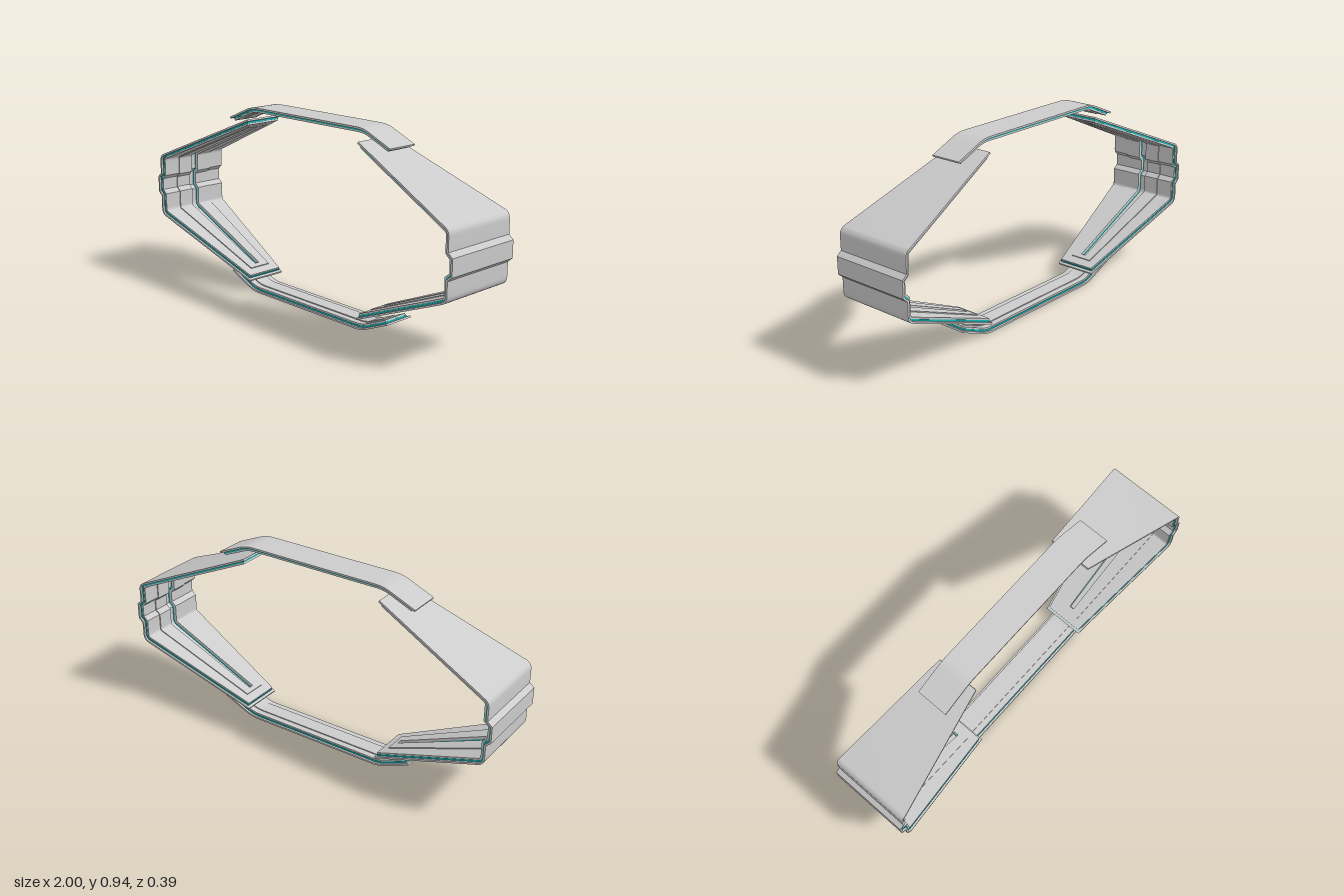
import * as THREE from 'three';
import { toCreasedNormals } from 'three/addons/utils/BufferGeometryUtils.js';

const MID = 0.4675; // height of the ring's centre
const grey = new THREE.MeshStandardMaterial({ color: 0xcccccc });
const teal = new THREE.MeshStandardMaterial({ color: 0x16b5b5 });

// Polyline whose corners with a radius value r are rounded over that length
function roundedPath(corners) {
  const pts = corners.map(([x, y]) => new THREE.Vector2(x, y - MID));
  const out = [];
  pts.forEach((p, i) => {
    const r = corners[i][2];
    if (!r) return out.push(p);
    const a = pts[i - 1].clone().sub(p).setLength(r).add(p);
    const b = pts[i + 1].clone().sub(p).setLength(r).add(p);
    out.push(...new THREE.QuadraticBezierCurve(a, p, b).getPoints(6));
  });
  return out;
}

// Points with mitred inward normals and distance along the path
function frames(path) {
  let s = 0;
  return path.map((p, i) => {
    const prev = path[Math.max(i - 1, 0)], next = path[Math.min(i + 1, path.length - 1)];
    if (i) s += p.distanceTo(prev);
    const a = (i ? p.clone().sub(prev) : next.clone().sub(p)).normalize();
    const b = (next !== p ? next.clone().sub(p) : a.clone()).normalize();
    const t = a.clone().add(b).normalize();
    const n = new THREE.Vector2(t.y, -t.x).divideScalar(t.dot(b));
    return { p, n, s };
  });
}

// Keep the stretch of the path between distances from and to
function trim(fr, from, to) {
  const at = (s) => {
    const i = Math.max(1, fr.findIndex((f) => f.s >= s));
    const A = fr[i - 1], B = fr[i], k = (s - A.s) / (B.s - A.s);
    const d = B.p.clone().sub(A.p).normalize();
    return { p: A.p.clone().lerp(B.p, k), n: new THREE.Vector2(d.y, -d.x), s };
  };
  return [at(from), ...fr.filter((f) => f.s > from + 1e-4 && f.s < to - 1e-4), at(to)];
}

// Solid strip between depths d0 and d1, and between the widths za and zb
function ribbon(fr, d0, d1, za, zb) {
  const pos = [];
  const rings = fr.map(({ p, n }) => {
    const x = Math.abs(p.x);
    return [[d0, za(x)], [d1, za(x)], [d1, zb(x)], [d0, zb(x)]]
      .map(([d, z]) => [p.x + n.x * d, p.y + n.y * d, z]);
  });
  const quad = (a, b, c, d) => pos.push(...a, ...b, ...c, ...a, ...c, ...d);
  for (let k = 0; k + 1 < rings.length; k++) {
    const a = rings[k], b = rings[k + 1];
    for (let i = 0; i < 4; i++) {
      const j = (i + 1) % 4;
      quad(a[i], b[i], b[j], a[j]);
    }
  }
  quad(...rings[0]);
  quad(...rings[rings.length - 1].slice().reverse());
  const g = new THREE.BufferGeometry();
  g.setAttribute('position', new THREE.Float32BufferAttribute(pos, 3));
  return toCreasedNormals(g, 0.4);
}

// One layer of a band, optionally with a long slit down its middle
function layer(group, name, mat, fr, { d, end, half, slit, slitEnd }) {
  const L = fr[fr.length - 1].s;
  const add = (from, to, za, zb) => {
    const m = new THREE.Mesh(ribbon(trim(fr, from, to), d[0], d[1], za, zb), mat);
    m.name = name;
    group.add(m);
  };
  const neg = (f) => (x) => -f(x);
  if (!slit) return add(end, L - end, neg(half), half);
  add(end, slitEnd, neg(half), half);
  add(L - slitEnd, L - end, neg(half), half);
  add(slitEnd, L - slitEnd, neg(half), neg(slit));
  add(slitEnd, L - slitEnd, slit, half);
}

// Wide end bracket, narrowing towards both tips
function sideBracket() {
  const g = new THREE.Group();
  const upper = [[0.375, 0.877], [0.975, 0.622, 0.028], [0.975, 0.528], [0.998, 0.508]];
  const lower = upper.map(([x, y, r]) => [x, 2 * MID - y, r]).reverse();
  const fr = frames(roundedPath([...upper, ...lower]));
  const w = (x) => 0.105 + 0.092 * Math.min(1, (x - 0.375) / 0.575);
  const slit = (x) => w(x) * 0.1, slitEnd = 0.085;
  layer(g, 'outerSheet', grey, fr, { d: [0, 0.009], end: 0, half: w });
  layer(g, 'seal', teal, fr, { d: [0.009, 0.017], end: 0.014, half: (x) => w(x) - 0.01, slit, slitEnd });
  layer(g, 'innerSheet', grey, fr, { d: [0.017, 0.025], end: 0.016, half: (x) => w(x) - 0.012, slit, slitEnd });
  layer(g, 'raisedPad', grey, fr, { d: [0.025, 0.03], end: 0.06, half: (x) => w(x) * 0.5, slit, slitEnd });
  return g;
}

// Narrow strap bridging the two brackets
function strap() {
  const g = new THREE.Group();
  const fr = frames(roundedPath([[-0.54, 0.866], [-0.378, 0.935, 0.04], [0.378, 0.935, 0.04], [0.54, 0.866]]));
  layer(g, 'outerSheet', grey, fr, { d: [0, 0.009], end: 0, half: () => 0.078 });
  layer(g, 'seal', teal, fr, { d: [0.009, 0.017], end: 0.014, half: () => 0.068 });
  layer(g, 'innerSheet', grey, fr, { d: [0.017, 0.025], end: 0.016, half: () => 0.066 });
  layer(g, 'raisedPad', grey, fr, { d: [0.025, 0.03], end: 0.05, half: () => 0.036 });
  return g;
}

export function createModel() {
  const model = new THREE.Group();
  model.name = 'bandFrame';
  const parts = [['leftBracket', sideBracket, 0], ['rightBracket', sideBracket, Math.PI],
    ['topStrap', strap, 0], ['bottomStrap', strap, Math.PI]];
  for (const [name, make, turn] of parts) {
    const part = make();
    part.name = name;
    part.position.y = MID;
    part.rotation.z = turn; // opposite part is the same one turned half round
    model.add(part);
  }
  return model;
}
